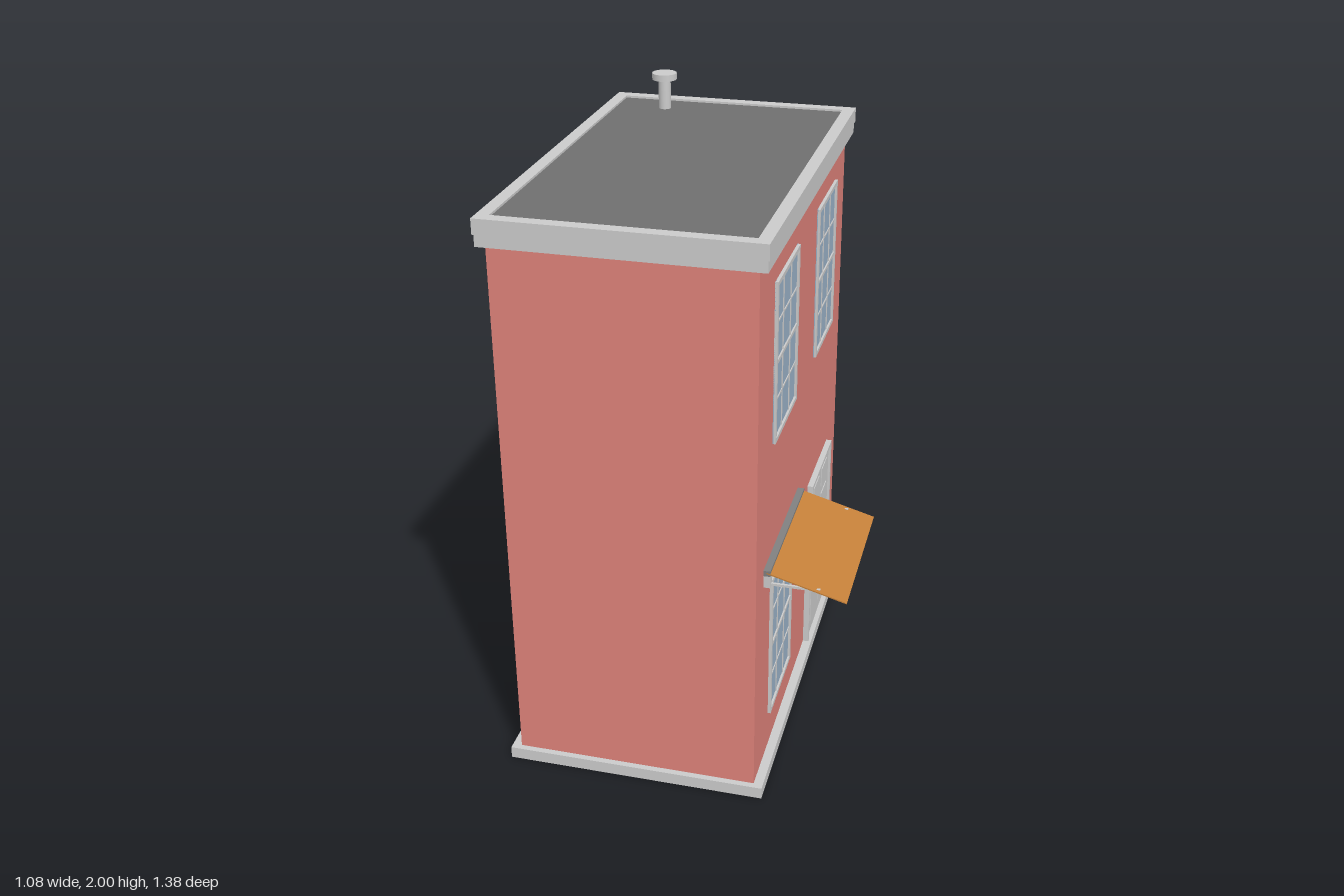
import * as THREE from 'three';

const paint = (color) => new THREE.MeshStandardMaterial({ color });
const grey = paint(0xcccccc), brick = paint(0xde827a), slate = paint(0x6f6f6f);
const glass = paint(0x9ab2c7), metal = paint(0x808080);
const canvas = new THREE.MeshStandardMaterial({ color: 0xc6813a, side: THREE.DoubleSide });

const WALL = 0.28; // plane of the wall that carries door and windows

// Box given by its lower and upper corners
function box(parent, name, mat, [x0, y0, z0], [x1, y1, z1]) {
  const mesh = new THREE.Mesh(new THREE.BoxGeometry(x1 - x0, y1 - y0, z1 - z0), mat);
  mesh.position.set((x0 + x1) / 2, (y0 + y1) / 2, (z0 + z1) / 2);
  mesh.name = name;
  parent.add(mesh);
  return mesh;
}

function cylinder(parent, name, mat, r, h, x, y, z) {
  const mesh = new THREE.Mesh(new THREE.CylinderGeometry(r, r, h, 24), mat);
  mesh.position.set(x, y, z);
  mesh.name = name;
  parent.add(mesh);
  return mesh;
}

function group(parent, name) {
  const g = new THREE.Group();
  g.name = name;
  parent.add(g);
  return g;
}

// Flat rectangular ring around the house; out and inn are distances from the centre
function ring(parent, name, [ox, oz], [ix, iz], y, h) {
  const rect = (path, a, b) => path.moveTo(-a, -b).lineTo(a, -b).lineTo(a, b).lineTo(-a, b).closePath();
  const shape = rect(new THREE.Shape(), ox, oz);
  shape.holes.push(rect(new THREE.Path(), ix, iz));
  const geo = new THREE.ExtrudeGeometry(shape, { depth: h, bevelEnabled: false });
  geo.rotateX(-Math.PI / 2);
  const mesh = new THREE.Mesh(geo, grey);
  mesh.position.set(-0.115, y, 0);
  mesh.name = name;
  parent.add(mesh);
}

// Sash window with three columns and four rows of panes
function sashWindow(parent, name, y, z) {
  const g = group(parent, name);
  g.position.set(WALL, y, z);
  const w = 0.16, h = 0.26, t = 0.014;
  box(g, 'glass', glass, [-0.01, -h, -w], [0.003, h, w]);
  for (const s of [-1, 1]) {
    box(g, 'frameSide', grey, [0, -h, s * (w - t / 2) - t / 2], [0.01, h, s * (w - t / 2) + t / 2]);
    box(g, 'frameRail', grey, [0, s * (h - t / 2) - t / 2, -w + t], [0.01, s * (h - t / 2) + t / 2, w - t]);
    const cz = s * 0.053;
    box(g, 'verticalBar', grey, [0, -h + t, cz - 0.003], [0.006, h - t, cz + 0.003]);
    const cy = s * 0.125;
    box(g, 'horizontalBar', grey, [0, cy - 0.003, -w + t], [0.0058, cy + 0.003, w - t]);
  }
  box(g, 'meetingRail', grey, [0, -0.006, -w + t], [0.008, 0.006, w - t]);
}

function door(parent) {
  const g = group(parent, 'door');
  g.position.set(WALL, 0.04, -0.32);
  const w = 0.18, h = 0.65, t = 0.015;
  for (const s of [-1, 1]) {
    const c = s * (w - t / 2);
    box(g, 'doorJamb', grey, [-0.01, 0, c - t / 2], [0.02, h, c + t / 2]);
  }
  box(g, 'doorHead', grey, [-0.01, h - t, -w + t], [0.02, h, w - t]);
  box(g, 'doorLeaf', grey, [-0.01, 0, -w + t], [0.012, h - t, w - t]);
  // Six shallow raised panels
  for (const cz of [-0.072, 0.072])
    for (const [y0, y1] of [[0.05, 0.24], [0.34, 0.51], [0.54, 0.61]])
      box(g, 'doorPanel', grey, [0.01, y0, cz - 0.05], [0.015, y1, cz + 0.05]);
  box(g, 'letterPlate', metal, [0.01, 0.27, -0.058], [0.02, 0.308, 0.058]);
  const stem = cylinder(g, 'knobStem', metal, 0.01, 0.016, 0.018, 0.29, -0.12);
  stem.rotation.z = Math.PI / 2;
  const knob = new THREE.Mesh(new THREE.SphereGeometry(0.02, 20, 14), metal);
  knob.scale.x = 0.5;
  knob.position.set(0.02, 0.29, -0.12);
  knob.name = 'doorKnob';
  g.add(knob);
}

function awning(parent) {
  const g = group(parent, 'awning');
  const z0 = 0.04, z1 = 0.57, x0 = 0.29, x1 = 0.54, y0 = 0.776, y1 = 0.706;
  // Sloping cloth
  const cloth = box(g, 'awningCloth', canvas, [0, -0.002, z0], [Math.hypot(x1 - x0, y0 - y1), 0.002, z1]);
  cloth.position.set((x0 + x1) / 2, (y0 + y1) / 2, (z0 + z1) / 2);
  cloth.rotation.z = Math.atan2(y1 - y0, x1 - x0);
  box(g, 'awningRail', metal, [WALL, 0.765, z0], [0.302, 0.784, z1]);
  // Wall brackets and straight arms under the cloth
  for (const z of [z0 + 0.015, z1 - 0.015]) {
    box(g, 'awningBracket', grey, [WALL, 0.722, z - 0.012], [0.302, 0.78, z + 0.012]);
    box(g, 'awningArm', grey, [0.295, 0.727, z - 0.004], [0.455, 0.735, z + 0.004]);
  }
}

export function createModel() {
  const house = new THREE.Group();
  house.name = 'townHouse';

  box(house, 'walls', brick, [-0.51, 0.002, -0.67], [WALL, 1.84, 0.67]);

  // Plinth and two-step cornice, each wrapping the walls
  const inner = [0.385, 0.65];
  ring(house, 'plinth', [0.425, 0.69], [0.394, 0.669], 0, 0.04);
  ring(house, 'corniceLower', [0.421, 0.686], inner, 1.8, 0.037);
  ring(house, 'corniceUpper', [0.425, 0.69], inner, 1.837, 0.048);
  box(house, 'roof', slate, [-0.502, 1.83, -0.652], [0.272, 1.878, 0.652]);

  // Vent pipe
  const vent = group(house, 'roofVent');
  cylinder(vent, 'ventPipe', grey, 0.021, 0.11, -0.333, 1.925, -0.555);
  cylinder(vent, 'ventCap', grey, 0.042, 0.022, -0.333, 1.989, -0.555);

  sashWindow(house, 'upperLeftWindow', 1.43, 0.31);
  sashWindow(house, 'upperRightWindow', 1.43, -0.33);
  sashWindow(house, 'lowerWindow', 0.43, 0.31);
  door(house);
  awning(house);
  return house;
}
